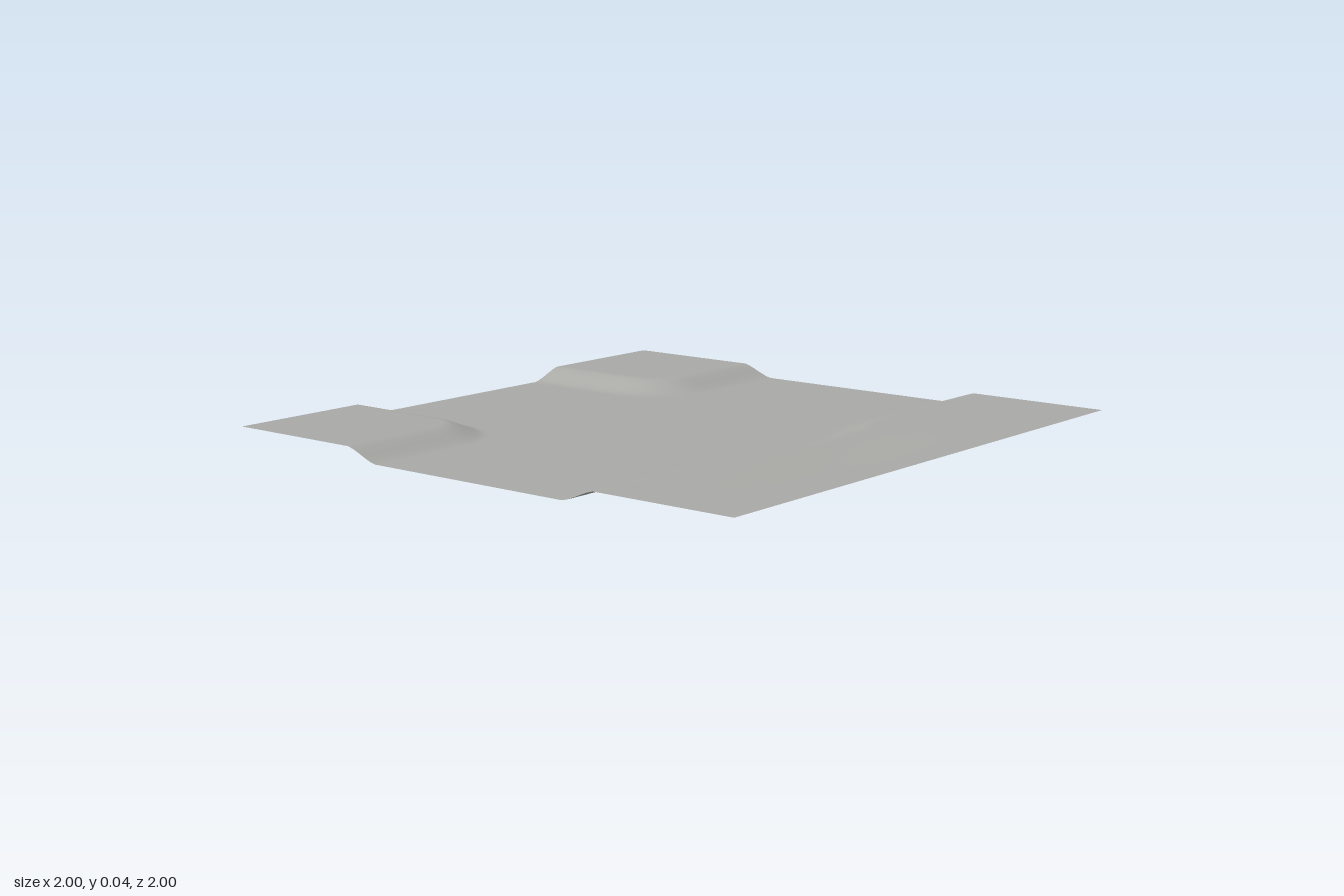
import * as THREE from 'three';

const HEIGHT = 0.042;
const { clamp, smoothstep } = THREE.MathUtils;

// Ramp from 0 to 1, mostly straight with slightly eased ends
const ramp = (t) => {
  const c = clamp(t, 0, 1);
  return 0.6 * c + 0.4 * c * c * (3 - 2 * c);
};

// Raised plateau in each back corner, with a rounded inner corner
function cornerBank(x, z) {
  const r = 0.12;
  const qx = 0.5 + r - Math.abs(x);
  const qz = 0.5 + r + z;
  const d = Math.hypot(Math.max(qx, 0), Math.max(qz, 0)) + Math.min(Math.max(qx, qz), 0) - r;
  return ramp(1 - d / 0.115);
}

// Raised strip along the front, whose edge bows forward in the middle
function frontBank(x, z) {
  const bow = 0.085 * (1 - smoothstep(Math.abs(x), 0.12, 0.45));
  return ramp((z - 0.385 - bow) / 0.115);
}

// Shallow worn hollow on the front strip
const hollow = (x, z) =>
  0.005 * Math.exp(-(((x + 0.2) / 0.3) ** 2) - (((z - 0.76) / 0.09) ** 2));

export function createModel() {
  const group = new THREE.Group();
  group.name = 'groundTile';

  const stone = new THREE.MeshStandardMaterial({ color: 0xa9a9a6, side: THREE.DoubleSide });
  stone.name = 'grey ground';

  // Flat sheet lifted by the height rule
  const geometry = new THREE.PlaneGeometry(2, 2, 100, 100).rotateX(-Math.PI / 2);
  const pos = geometry.attributes.position;
  for (let i = 0; i < pos.count; i++) {
    const x = pos.getX(i);
    const z = pos.getZ(i);
    const lift = Math.max(cornerBank(x, z), frontBank(x, z));
    pos.setY(i, Math.max(0, HEIGHT * lift - (z > 0.5 ? hollow(x, z) * lift : 0)));
  }
  geometry.computeVertexNormals();

  const ground = new THREE.Mesh(geometry, stone);
  ground.name = 'groundSurface';
  group.add(ground);
  return group;
}
